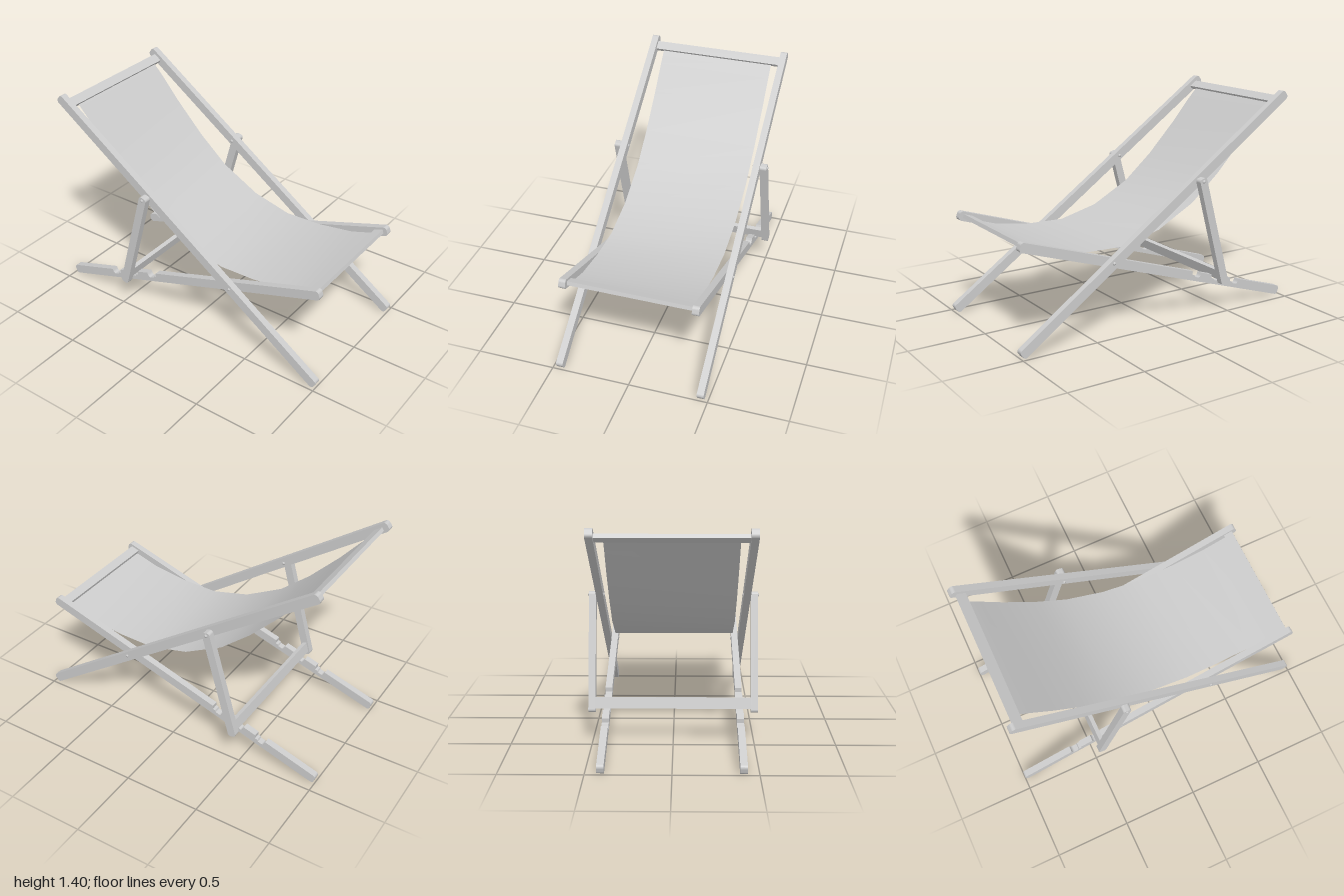
import * as THREE from 'three';

const mat = new THREE.MeshStandardMaterial({ color: 0xcccccc });
const clothMat = new THREE.MeshStandardMaterial({ color: 0xcccccc, side: THREE.DoubleSide });

// Side profile of a bar: rounded ends, optional notches cut into the top edge
function barShape(length, width, r, notches = []) {
  const a = length / 2, b = width / 2, s = new THREE.Shape();
  s.moveTo(-a + r, -b);
  s.lineTo(a - r, -b);
  s.absarc(a - r, -b + r, r, -Math.PI / 2, 0);
  s.absarc(a - r, b - r, r, 0, Math.PI / 2);
  for (const u of notches) {
    s.lineTo(u + 0.038, b);
    s.lineTo(u + 0.032, b - 0.024);
    s.lineTo(u + 0.014, b - 0.024);
    s.lineTo(u + 0.006, b - 0.034);
    s.lineTo(u - 0.022, b - 0.034);
    s.quadraticCurveTo(u - 0.034, b - 0.03, u - 0.036, b - 0.014);
    s.lineTo(u - 0.037, b);
  }
  s.lineTo(-a + r, b);
  s.absarc(-a + r, b - r, r, Math.PI / 2, Math.PI);
  s.absarc(-a + r, -b + r, r, Math.PI, Math.PI * 1.5);
  return s;
}

// Bar lying along z, spanning x0..x1, tilted so its front end rises by "angle"
function sideBar(name, shape, x0, x1, y, z, angle) {
  const geo = new THREE.ExtrudeGeometry(shape, { depth: x1 - x0, bevelEnabled: false, curveSegments: 6 });
  geo.translate(0, 0, -(x1 - x0) / 2);
  geo.rotateY(-Math.PI / 2);
  const m = new THREE.Mesh(geo, mat);
  m.name = name;
  m.position.set((x0 + x1) / 2, y, z);
  m.rotation.x = -angle;
  return m;
}

// Slat running across the chair
function slat(name, width, height, depth, y, z, angle) {
  const m = new THREE.Mesh(new THREE.BoxGeometry(width, height, depth), mat);
  m.name = name;
  m.position.set(0, y, z);
  m.rotation.x = -angle;
  return m;
}

// Pivot pin with domed heads at both ends
function pin(name, x0, x1, y, z, r) {
  const h = (x1 - x0) / 2, d = r * 0.7;
  const pts = [[0, -h], [r * 0.7, -h + d * 0.3], [r, -h + d], [r, h - d], [r * 0.7, h - d * 0.3], [0, h]];
  const geo = new THREE.LatheGeometry(pts.map(p => new THREE.Vector2(...p)), 12);
  geo.rotateZ(-Math.PI / 2);
  const m = new THREE.Mesh(geo, mat);
  m.name = name;
  m.position.set((x0 + x1) / 2, y, z);
  return m;
}

export function createModel() {
  const model = new THREE.Group();
  model.name = 'deckChair';
  const SEAT = 0.312, BACK = -0.611, PROP = 1.305;

  const backShape = barShape(2.385, 0.06, 0.02);
  const seatShape = barShape(2.06, 0.06, 0.02, [-0.29, -0.453, -0.616]);
  const propShape = barShape(0.745, 0.054, 0.018);

  // Rails, props and pins on each side
  for (const [side, s] of [['left', 1], ['right', -1]]) {
    const span = (a, b) => (s > 0 ? [a, b] : [-b, -a]);
    model.add(
      sideBar(side + 'BackRail', backShape, ...span(0.432, 0.476), 0.70, 0.015, BACK),
      sideBar(side + 'SeatRail', seatShape, ...span(0.388, 0.431), 0.34, -0.015, SEAT),
      sideBar(side + 'Prop', propShape, ...span(0.477, 0.521), 0.555, -0.362, PROP),
      pin(side + 'RailPin', ...span(0.38, 0.484), 0.465, 0.36, 0.011),
      pin(side + 'PropPin', ...span(0.424, 0.529), 0.895, -0.27, 0.012)
    );
  }

  // Slats joining the two sides
  model.add(
    slat('topSlat', 0.866, 0.025, 0.06, 1.341, -0.907, BACK),
    slat('frontSlat', 0.78, 0.025, 0.06, 0.641, 0.91, SEAT),
    slat('propCrossbar', 0.956, 0.028, 0.07, 0.251, -0.447, PROP)
  );

  // Sagging cloth, listed as [z, y] from the top slat to the front slat
  const sag = [[-0.89, 1.327], [-0.82, 1.255], [-0.69, 1.105], [-0.49, 0.9], [-0.29, 0.73],
    [-0.03, 0.592], [0.23, 0.527], [0.48, 0.534], [0.72, 0.57], [0.9, 0.628]];
  const geo = new THREE.PlaneGeometry(0.76, 1, 1, sag.length - 1);
  const pos = geo.attributes.position;
  for (let i = 0; i < pos.count; i++) {
    const [z, y] = sag[Math.floor(i / 2)];
    pos.setXYZ(i, pos.getX(i), y, z);
  }
  geo.computeVertexNormals();
  const cloth = new THREE.Mesh(geo, clothMat);
  cloth.name = 'clothSeat';
  model.add(cloth);

  return model;
}
